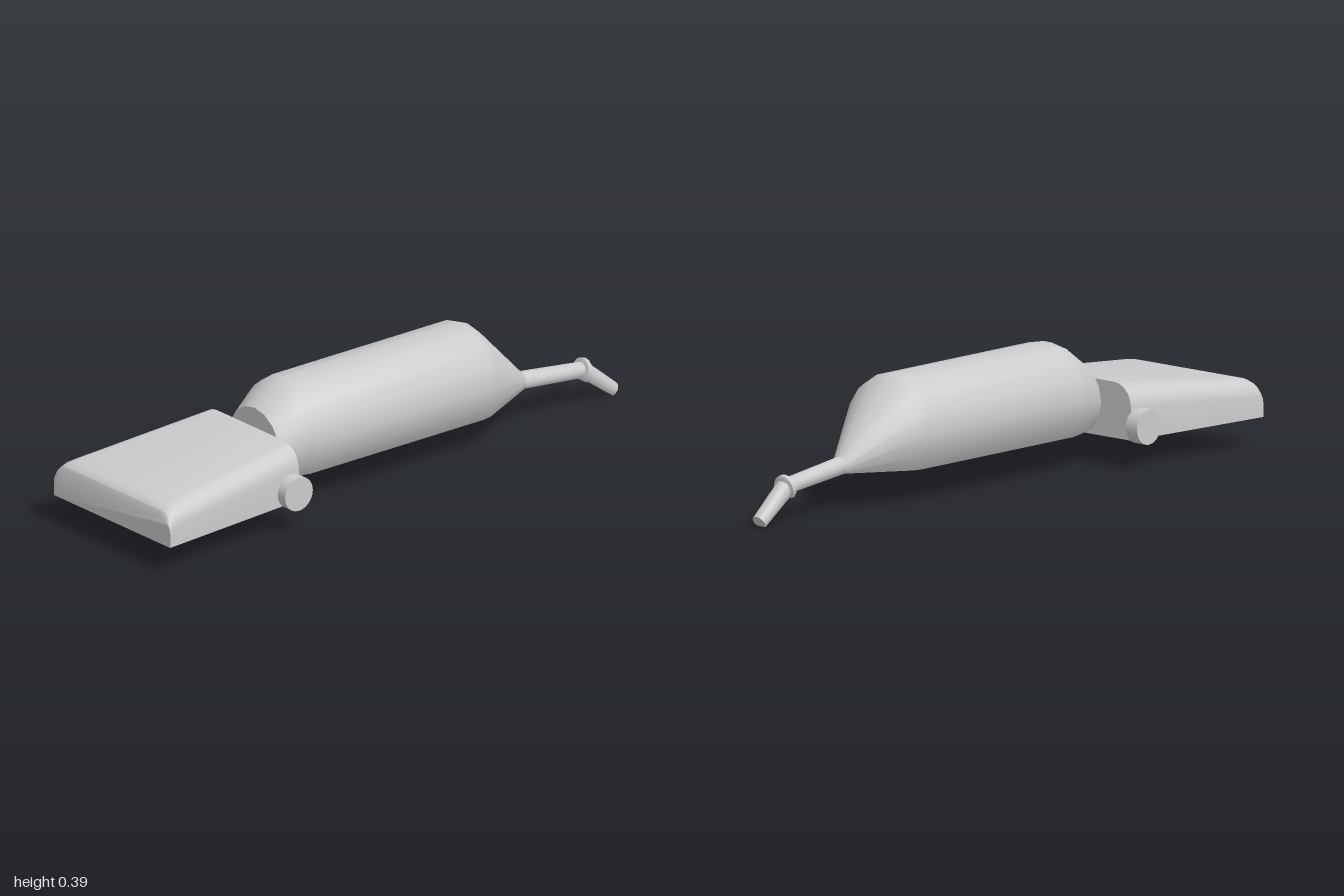
import * as THREE from 'three';
import { toCreasedNormals } from 'three/addons/utils/BufferGeometryUtils.js';

const material = new THREE.MeshStandardMaterial({ color: 0xcccccc });

// Closed, capped skin over rings of [x, y, z] points, ordered along +x
function loft(rings, crease = 0.6) {
  const n = rings[0].length, last = (rings.length - 1) * n, index = [];
  for (let i = 0; i < rings.length - 1; i++) {
    for (let j = 0; j < n; j++) {
      const k = (j + 1) % n, a = i * n + j, b = i * n + k;
      index.push(a, b, a + n, b, b + n, a + n);
    }
  }
  for (let j = 1; j < n - 1; j++) {
    index.push(0, j + 1, j, last, last + j, last + j + 1);
  }
  const g = new THREE.BufferGeometry();
  g.setAttribute('position', new THREE.Float32BufferAttribute(rings.flat(2), 3));
  g.setIndex(index);
  return toCreasedNormals(g, crease);
}

// 16-sided circle with its lowest sides cut flat, leaning by tilt
function flatRound([x, y, r, tilt = 0]) {
  return Array.from({ length: 13 }, (_, i) => {
    const a = (i - 6) * Math.PI / 8, up = r * Math.cos(a);
    return [x + up * Math.sin(tilt), y + up * Math.cos(tilt), r * Math.sin(a)];
  });
}

// Flat-bottomed section with rounded upper corners
function footRing([x, half, top, radius]) {
  const base = 0.09, side = [[half, base]];
  for (let i = 0; i <= 5; i++) {
    const a = i * Math.PI / 10;
    side.push([half - radius * 1.0 * (1 - Math.cos(a)), top - radius * (1 - Math.sin(a))]);
  }
  const left = side.map(([z, y]) => [x, y, -z]);
  const right = side.reverse().map(([z, y]) => [x, y, z]);
  return [...left, ...right];
}

export function createModel() {
  const model = new THREE.Group();
  const add = (name, geometry) => {
    const mesh = new THREE.Mesh(geometry, material);
    mesh.name = name;
    model.add(mesh);
    return mesh;
  };

  // Main casing, tapering to the neck
  add('body', loft([
    [-0.435, 0.197, 0.123], [-0.345, 0.221, 0.16], [-0.31, 0.224, 0.167],
    [0.38, 0.224, 0.167], [0.41, 0.22, 0.16], [0.62, 0.136, 0.0293],
  ].map(flatRound)));

  // Slim neck, ring collar and bent tip
  add('neck', loft([[0.62, 0.136, 0.0293], [0.87, 0.107, 0.026, 0.1]].map(flatRound)));
  add('collar', loft([
    [0.857, 0.107, 0.032, 0.2], [0.86, 0.107, 0.04, 0.2],
    [0.873, 0.104, 0.04, 0.2], [0.877, 0.103, 0.032, 0.2],
  ].map(flatRound)));
  add('tip', loft([[0.868, 0.104, 0.03, 0.64], [0.985, 0.0136, 0.024, 0.64]].map(flatRound)));

  // Wide floor head, rounded over at its outer edge
  add('floorHead', loft([
    [-1, 0.28, 0.175, 0.04], [-0.992, 0.279, 0.195, 0.05], [-0.972, 0.277, 0.208, 0.055],
    [-0.935, 0.274, 0.215, 0.06], [-0.45, 0.232, 0.265, 0.07],
  ].map(footRing)));

  // Wheels on both sides of the head
  for (const s of [-1, 1]) {
    const wheel = add(s > 0 ? 'frontWheel' : 'rearWheel',
      new THREE.CylinderGeometry(0.055, 0.055, 0.046, 24));
    wheel.rotation.x = Math.PI / 2;
    wheel.position.set(-0.485, 0.133, s * 0.252);
  }
  return model;
}
